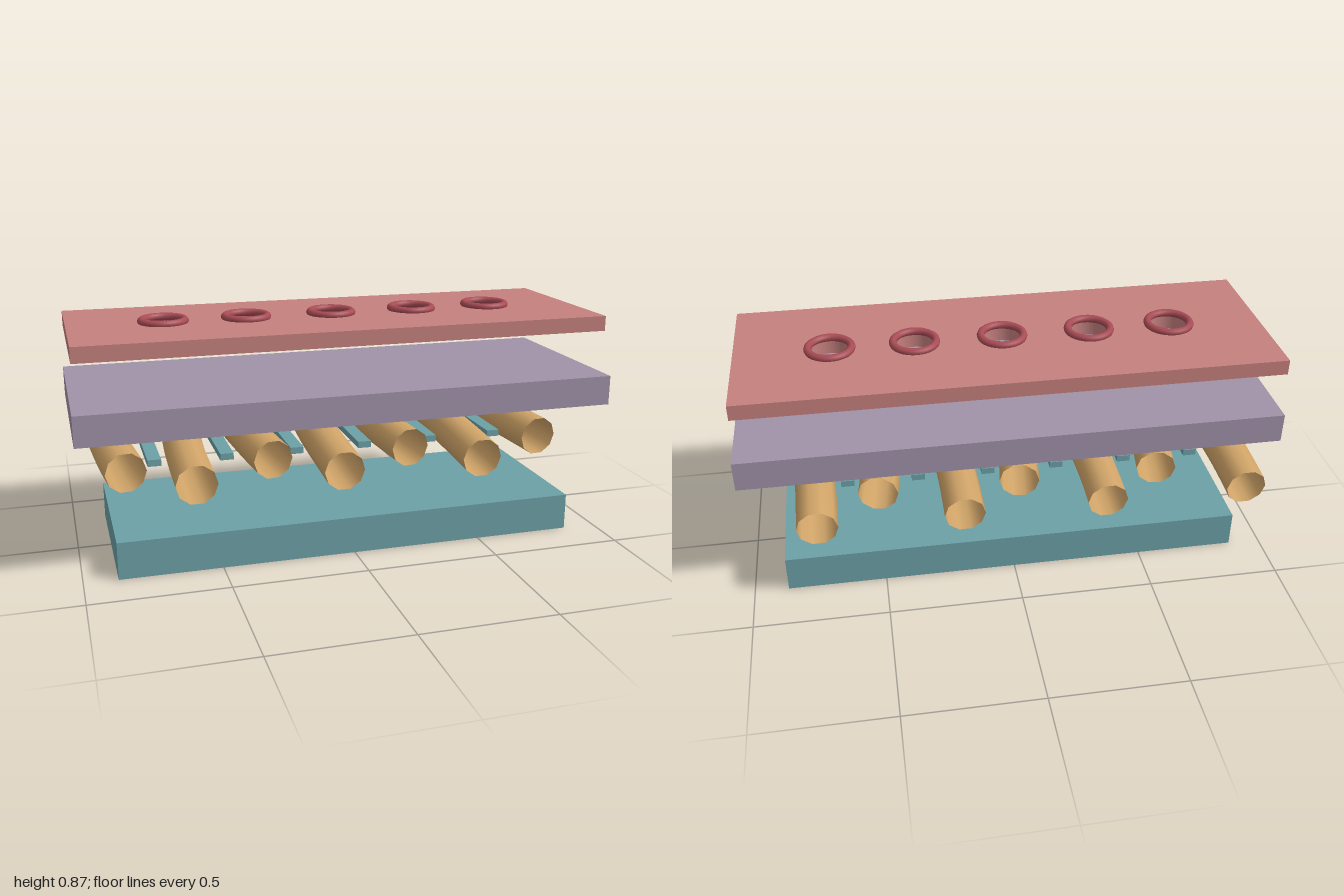
import * as THREE from 'three';

const mat = (name, color, side = THREE.FrontSide) => {
  const m = new THREE.MeshStandardMaterial({ color, side });
  m.name = name;
  return m;
};

export function createModel() {
  const group = new THREE.Group();
  const teal = mat('teal', 0x6ca0a7);
  const purple = mat('mauve', 0xa092a8);
  const red = mat('rose', 0xc4807e);
  const crimson = mat('crimson', 0xa84c55);
  const tan = mat('tan', 0xd0a468, THREE.DoubleSide);

  const add = (name, geometry, material) => {
    const mesh = new THREE.Mesh(geometry, material);
    mesh.name = name;
    group.add(mesh);
    return mesh;
  };

  // Box given by its minimum and maximum corners
  const slab = (name, [x0, y0, z0], [x1, y1, z1], material) =>
    add(name, new THREE.BoxGeometry(x1 - x0, y1 - y0, z1 - z0), material)
      .position.set((x0 + x1) / 2, (y0 + y1) / 2, (z0 + z1) / 2);

  // Lower and middle slabs
  slab('baseSlab', [-0.877, 0, -0.31], [0.873, 0.14, 0.33], teal);
  slab('middleSlab', [-1, 0.515, -0.355], [1, 0.627, 0.38], purple);

  // Top plate pierced by a row of round openings
  const openings = [-0.64, -0.33, 0, 0.326, 0.636];
  const plate = new THREE.Shape();
  plate.moveTo(-0.99, -0.34).lineTo(0.985, -0.34).lineTo(0.985, 0.34).lineTo(-0.99, 0.34).closePath();
  for (const x of openings) {
    plate.holes.push(new THREE.Path().absarc(x, 0, 0.075, 0, Math.PI * 2, true));
  }
  const plateGeometry = new THREE.ExtrudeGeometry(plate, { depth: 0.057, bevelEnabled: false, curveSegments: 24 });
  add('topPlate', plateGeometry.rotateX(-Math.PI / 2), red).position.y = 0.795;

  // Raised rim around each opening
  const rim = new THREE.TorusGeometry(0.08, 0.0145, 10, 32).rotateX(Math.PI / 2);
  for (const x of openings) add('openingRim', rim, crimson).position.set(x, 0.8585, 0);

  // Row of open, gently arched tubes, alternately shifted back and forward
  const spacing = 0.2663;
  for (let i = 0; i < 7; i++) {
    const dir = i % 2 ? 1 : -1;
    const cx = -0.847 + i * spacing;
    const points = [];
    for (let k = 0; k <= 8; k++) {
      const t = k / 8;
      const z = dir * (0.416 - 0.673 * t);
      points.push(new THREE.Vector3(cx - 0.018 + 0.04 * t ** 2.5, 0.378 - 0.113 * z * z, z));
    }
    const path = new THREE.CatmullRomCurve3(points);
    add('tube', new THREE.TubeGeometry(path, 20, 0.075, 10, false), tan);
  }

  // Small bars linking neighbouring tubes
  for (let i = 0; i < 6; i++) {
    const x = -0.716 + i * spacing;
    slab('linkBar', [x - 0.025, 0.36, -0.18], [x + 0.025, 0.385, 0.18], teal);
  }

  return group;
}
